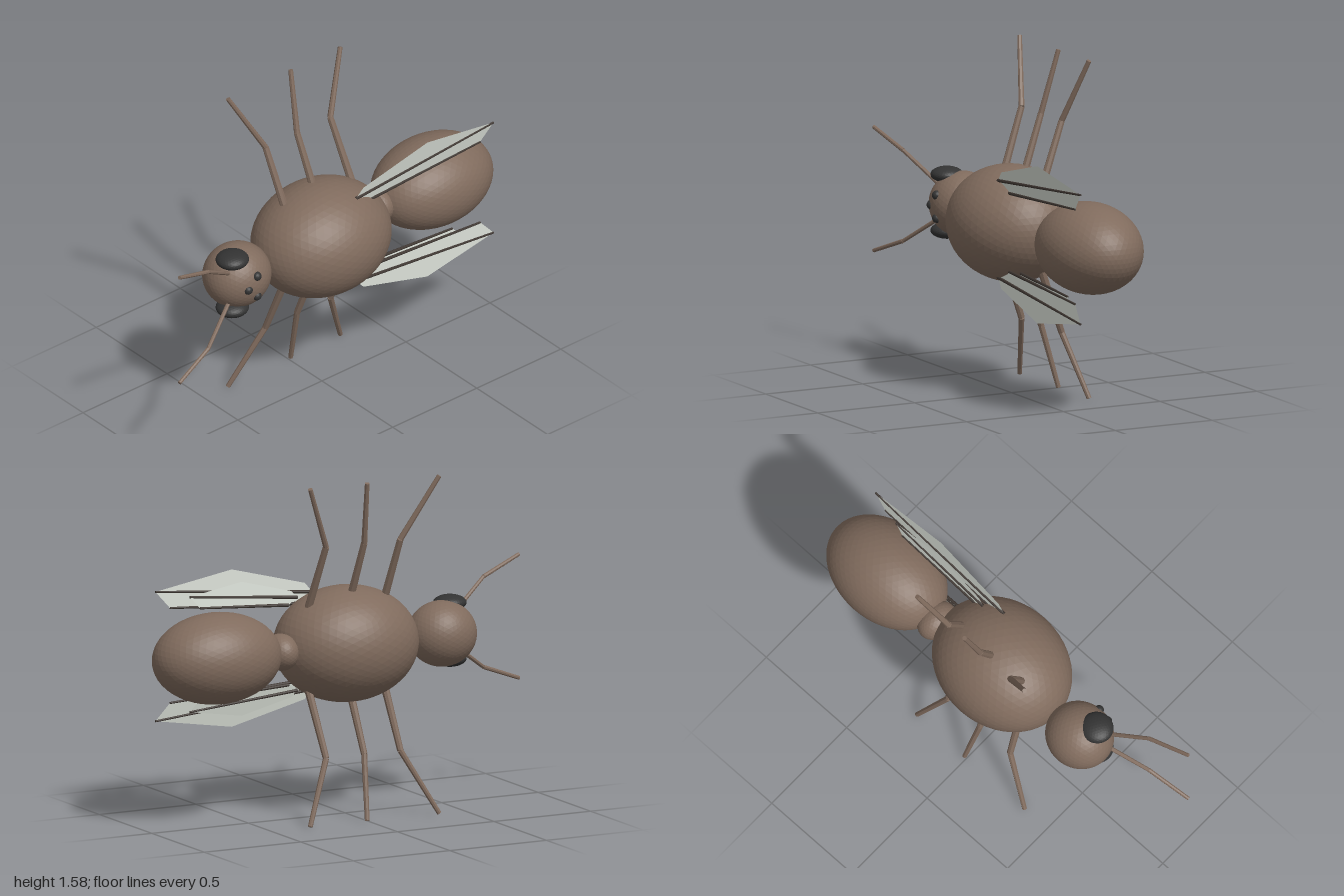
import * as THREE from 'three';

const mat = (color, extra = {}) => {
  const m = new THREE.MeshStandardMaterial({ flatShading: true, ...extra });
  m.color.set(color);
  return m;
};

export function createModel() {
  const model = new THREE.Group();
  const brown = mat(0x806b5d);
  const dark = mat(0x333333);
  const veinMat = mat(0x3f3732);
  const wingMat = mat(0xd3d8d0, { side: THREE.DoubleSide });
  const midY = 0.79; // mirror plane of the body

  const add = (name, geometry, material, parent = model) => {
    const mesh = new THREE.Mesh(geometry, material);
    mesh.name = name;
    parent.add(mesh);
    return mesh;
  };

  // Faceted ellipsoid
  const blob = (name, center, radii, material, detail = 7) => {
    const g = new THREE.IcosahedronGeometry(1, detail).scale(...radii);
    add(name, g, material).position.set(...center);
  };

  // Straight rod between two points
  const rod = (name, a, b, ra, rb, material, parent) => {
    const dir = b.clone().sub(a);
    const g = new THREE.CylinderGeometry(rb, ra, dir.length(), 8);
    const mesh = add(name, g, material, parent);
    mesh.position.copy(a).add(b).multiplyScalar(0.5);
    mesh.quaternion.setFromUnitVectors(new THREE.Vector3(0, 1, 0), dir.normalize());
  };

  // Body along x, back towards +z
  blob('thorax', [-0.003, midY, -0.003], [0.345, 0.268, 0.287], brown, 9);
  blob('abdomen', [0.683, midY, -0.035], [0.313, 0.21, 0.227], brown, 9);
  blob('waist', [0.36, midY, -0.05], [0.08, 0.085, 0.1], brown, 5);
  blob('head', [-0.495, midY, -0.013], [0.162, 0.152, 0.152], brown);

  // Three simple eyes on top of the head
  for (const [x, dy] of [[-0.49, 0.053], [-0.542, 0], [-0.49, -0.053]]) {
    blob('simpleEye', [x, midY + dy, 0.122], [0.022, 0.022, 0.022], dark, 3);
  }

  // Leg joints as x, offset from the mirror plane, z
  const legs = {
    frontLeg: [[-0.17, 0.16, -0.04], [-0.2, 0.49, -0.16], [-0.36, 0.783, -0.236]],
    middleLeg: [[0.01, 0.16, -0.04], [-0.013, 0.49, -0.16], [0.013, 0.783, -0.236]],
    hindLeg: [[0.215, 0.16, -0.03], [0.185, 0.49, -0.16], [0.308, 0.783, -0.236]],
  };
  const antenna = [[-0.57, 0.06, 0.04], [-0.79, 0.21, 0.134], [-0.996, 0.287, 0.176]];

  // Wing outline in x and offset from the mirror plane
  const outline = [[0.1, 0.225], [0.14, 0.27], [0.51, 0.365], [0.91, 0.3], [0.84, 0.22], [0.17, 0.18]];

  const wing = (name, s, k, x0, y0, z0, slope) => {
    const group = new THREE.Group();
    group.name = name;
    model.add(group);
    const pts = outline.map(([x, y]) => {
      const dy = (y - 0.18) * k;
      return new THREE.Vector3(x0 + (x - 0.1) * k, midY + s * (y0 + dy), z0 + dy * slope);
    });
    // Membrane as a fan of triangles, wound to face +z
    const fan = [];
    for (let i = 1; i < pts.length - 1; i++) {
      fan.push(...(s > 0 ? [pts[0], pts[i + 1], pts[i]] : [pts[0], pts[i], pts[i + 1]]));
    }
    const g = new THREE.BufferGeometry().setFromPoints(fan);
    g.computeVertexNormals();
    add('membrane', g, wingMat, group);
    // Two veins running to the tip and the trailing corner
    rod('vein', pts[0], pts[3], 0.008, 0.005, veinMat, group);
    rod('vein', pts[5], pts[4], 0.008, 0.005, veinMat, group);
  };

  for (const s of [1, -1]) {
    const at = ([x, dy, z]) => new THREE.Vector3(x, midY + s * dy, z);
    blob('eye', [-0.56, midY + s * 0.13, 0.032], [0.077, 0.037, 0.075], dark, 5);
    for (const [name, p] of Object.entries(legs)) {
      const [hip, knee, foot] = p.map(at);
      rod(name + 'Upper', hip, knee, 0.019, 0.015, brown);
      rod(name + 'Lower', knee, foot, 0.014, 0.011, brown);
    }
    const [base, bend, tip] = antenna.map(at);
    rod('antennaBase', base, bend, 0.01, 0.009, brown);
    rod('antennaTip', bend, tip, 0.01, 0.009, brown);
    wing('foreWing', s, 1, 0.1, 0.18, 0.116, 0.13);
    wing('hindWing', s, 0.68, 0.2, 0.185, 0.082, 0.18);
  }

  return model;
}
